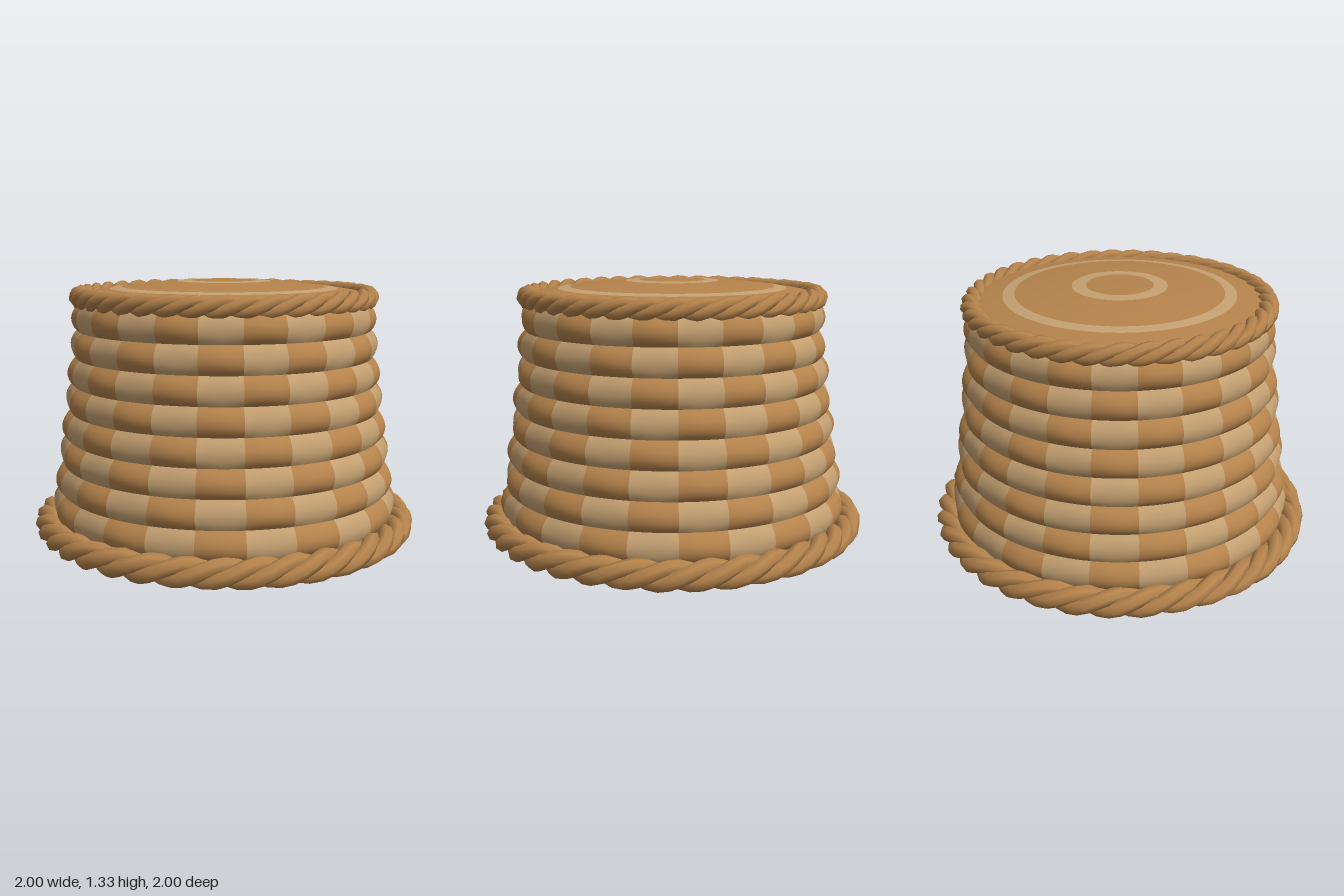
import * as THREE from 'three';
import { mergeGeometries } from 'three/addons/utils/BufferGeometryUtils.js';

const TOP = 1.215, ROW = 0.137, ROWS = 8, COLUMNS = 24;

// Radius of the flared wall in the grooves between rows
const wallRadius = (y) => {
  const t = Math.max(0, (TOP - y) / (ROW * ROWS));
  return 0.745 + 0.137 * Math.pow(t, 1.3);
};

// One cushioned cell of the weave; sign lifts or sinks its middle
function weaveCell(row, column, sign) {
  const geo = new THREE.PlaneGeometry(1, 1, 6, 8);
  const p = geo.attributes.position;
  for (let i = 0; i < p.count; i++) {
    const u = p.getX(i) + 0.5, v = p.getY(i) + 0.5;
    const y = TOP - (row + 1 - v) * ROW;
    const a = (column + u) * Math.PI * 2 / COLUMNS;
    const bulge = Math.pow(Math.max(0, Math.sin(Math.PI * v)), 0.75);
    const r = wallRadius(y) + bulge * (0.03 + sign * 0.008 * Math.sin(Math.PI * u));
    p.setXYZ(i, r * Math.sin(a), y, r * Math.cos(a));
  }
  geo.computeVertexNormals();
  return geo;
}

// A strand winding around a horizontal ring
class StrandCurve extends THREE.Curve {
  constructor(ring, y, offset, turns, phase) {
    super();
    Object.assign(this, { ring, y, offset, turns, phase });
  }
  getPoint(t, target = new THREE.Vector3()) {
    const a = t * Math.PI * 2, phi = a * this.turns + this.phase;
    const r = this.ring + this.offset * Math.cos(phi);
    return target.set(r * Math.sin(a), this.y + this.offset * Math.sin(phi), r * Math.cos(a));
  }
}

export function createModel() {
  const straw = new THREE.MeshStandardMaterial({ color: 0xb5834c });
  straw.name = 'straw';
  const paleStraw = new THREE.MeshStandardMaterial({ color: 0xc5a172 });
  paleStraw.name = 'pale straw';
  const lining = new THREE.MeshStandardMaterial({ color: 0x6b4528 });
  lining.name = 'dark lining';

  const model = new THREE.Group();
  model.name = 'wovenBasket';
  const add = (name, geometry, material, parent = model) => {
    const mesh = new THREE.Mesh(geometry, material);
    mesh.name = name;
    parent.add(mesh);
  };
  const lathe = (points) =>
    new THREE.LatheGeometry(points.map(([r, y]) => new THREE.Vector2(r, y)), 72);

  // Checkered woven wall
  const dark = [], pale = [];
  for (let row = 0; row < ROWS; row++) {
    for (let column = 0; column < COLUMNS; column++) {
      const isPale = (row + column) % 2 === 0;
      (isPale ? pale : dark).push(weaveCell(row, column, isPale ? -1 : 1));
    }
  }
  add('darkWeave', mergeGeometries(dark), straw);
  add('paleWeave', mergeGeometries(pale), paleStraw);

  // Plain bands behind the ropes
  add('footBand', lathe([[0.89, 0.02], [0.882, 0.12]]), straw);
  add('topBand', lathe([[0.745, 1.21], [0.735, 1.27]]), straw);

  // Twisted ropes, three strands each
  const rope = (name, ring, y, offset, radius, turns) => {
    const group = new THREE.Group();
    group.name = name;
    for (let k = 0; k < 3; k++) {
      const curve = new StrandCurve(ring, y, offset, turns, k * Math.PI * 2 / 3);
      add('strand', new THREE.TubeGeometry(curve, turns * 10, radius, 7, true), straw, group);
    }
    model.add(group);
  };
  rope('footRope', 0.925, 0.08, 0.037, 0.039, 12);
  rope('topRope', 0.74, 1.245, 0.027, 0.029, 13);

  // Domed lid with two pale rings
  const domeY = (r) => 1.33 - 0.125 * r * r;
  const radii = [0.74, 0.585, 0.525, 0.24, 0.17, 0];
  for (let i = 0; i < 5; i++) {
    const points = [];
    for (let j = 0; j <= 6; j++) {
      const r = THREE.MathUtils.lerp(radii[i], radii[i + 1], j / 6);
      points.push([r, domeY(r)]);
    }
    add(i % 2 ? 'lidRing' : 'lidPanel', lathe(points), i % 2 ? paleStraw : straw);
  }

  // Dark inside
  const inner = [];
  for (let i = 0; i <= 10; i++) {
    const y = 1.2 - i * 0.118;
    inner.push([Math.min(wallRadius(y) - 0.02, 0.87), y]);
  }
  add('innerWall', lathe(inner), lining);
  add('innerTop', lathe([[0, 1.2], [inner[0][0], 1.2]]), lining);
  add('bottomEdge', lathe([[0.865, 0.02], [0.89, 0.02]]), straw);
  return model;
}
